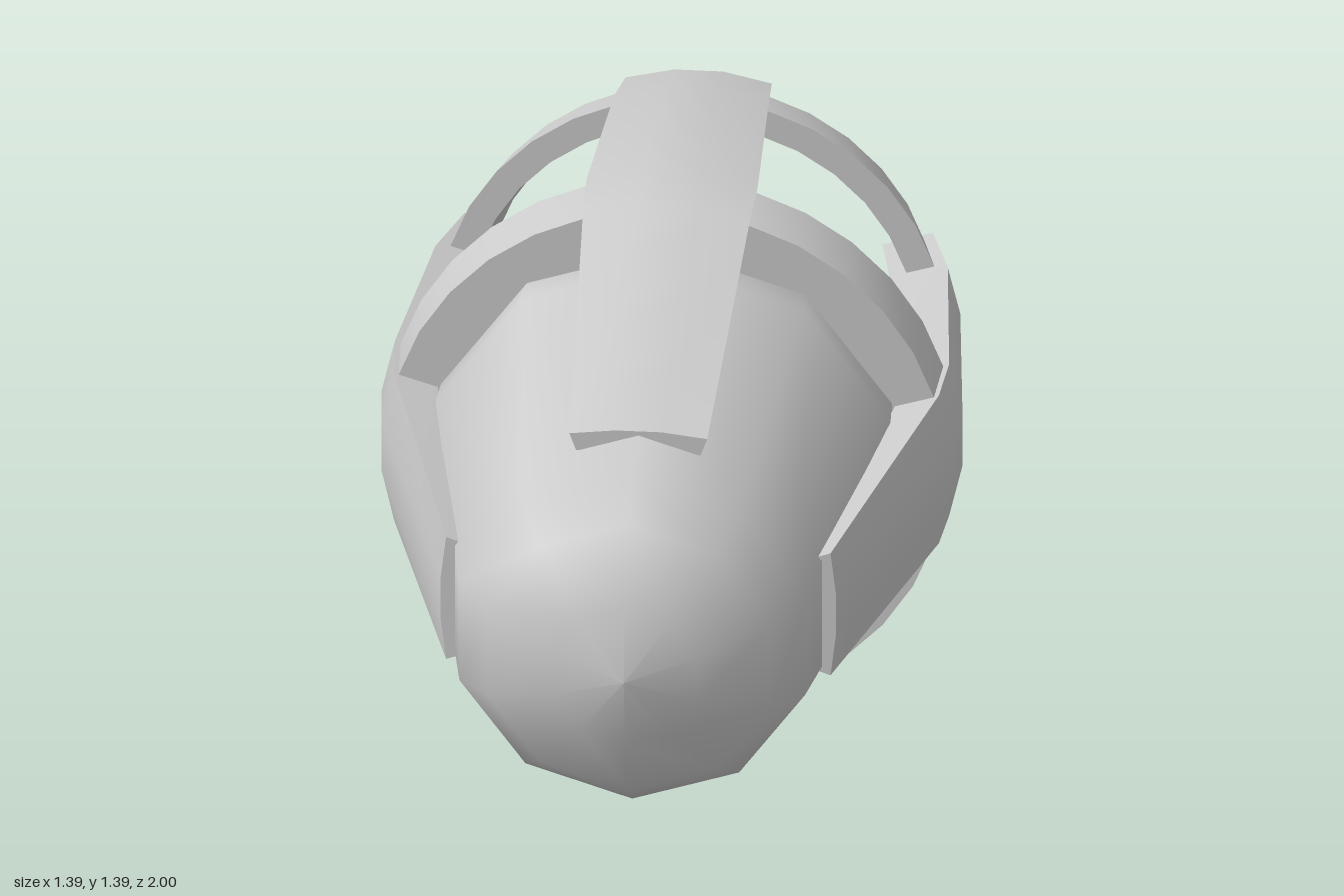
import * as THREE from 'three';
import { toCreasedNormals } from 'three/addons/utils/BufferGeometryUtils.js';

const SIDES = 4;
const material = new THREE.MeshStandardMaterial({ color: 0xcccccc });
const shellMaterial = new THREE.MeshStandardMaterial({ color: 0xcccccc, side: THREE.DoubleSide });

// Lathe around the z axis from [radius, z] pairs
function turned(profile, segments, phase = 0) {
  const points = profile.map(([r, z]) => new THREE.Vector2(r, z));
  return new THREE.LatheGeometry(points, segments, phase).rotateX(Math.PI / 2);
}

function add(parent, geometry, name, mat = material) {
  const mesh = new THREE.Mesh(geometry, mat);
  mesh.name = name;
  parent.add(mesh);
  return mesh;
}

// Curved strap above the axis, lofted through shallow arched cross-sections
function strapGeometry() {
  // z, half width, outer corner height, inner corner height, arch rise
  const stations = [
    [-1.0, 0.175, 0.56, 0.44, 0.027],
    [-0.81, 0.185, 0.613, 0.475, 0.03],
    [-0.29, 0.205, 0.663, 0.56, 0.032],
    [-0.14, 0.2, 0.652, 0.548, 0.03],
    [0.61, 0.165, 0.46, 0.415, 0.013],
  ];
  const across = [-1, -1 / 3, 1 / 3, 1];
  const positions = [];
  for (const [z, half, outer, inner, rise] of stations) {
    const innerHalf = half * inner / outer;
    const arch = (t) => (Math.abs(t) < 1 ? rise : 0);
    for (const t of across) positions.push(t * innerHalf, inner + arch(t), z);
    for (const t of across) positions.push(-t * half, outer + arch(t), z);
  }
  const index = [];
  const quad = (a, b, c, d) => index.push(a, b, c, a, c, d);
  const last = (stations.length - 1) * 8;
  for (let k = 0; k < last; k += 8) {
    for (let i = 0; i < 8; i++) {
      const j = (i + 1) % 8;
      quad(k + i, k + j, k + 8 + j, k + 8 + i);
    }
  }
  // End caps
  for (let i = 0; i < 3; i++) {
    quad(last + i, last + i + 1, last + 6 - i, last + 7 - i);
    quad(7 - i, 6 - i, i + 1, i);
  }
  const geometry = new THREE.BufferGeometry();
  geometry.setAttribute('position', new THREE.Float32BufferAttribute(positions, 3));
  geometry.setIndex(index);
  return toCreasedNormals(geometry, 0.6);
}

// Ring with a four-cornered section; front and back radii may differ
function ringGeometry(zBack, zFront, outerBack, outerFront, innerBack, innerFront) {
  const profile = [
    [innerBack, zBack], [outerBack, zBack], [outerFront, zFront],
    [innerFront, zFront], [innerBack, zBack],
  ];
  return toCreasedNormals(turned(profile, 32, Math.PI / 32), 0.6);
}

export function createModel() {
  const model = new THREE.Group();
  const pod = new THREE.Group();
  pod.name = 'pod';
  pod.position.y = 0.697;
  model.add(pod);

  // Ten-sided body with a rounded nose
  add(pod, turned([
    [0.47, -0.36], [0.565, -0.18], [0.572, -0.05], [0.435, 0.77],
    [0.36, 0.87], [0.185, 0.965], [0, 1.0],
  ], 10), 'body', shellMaterial);

  // Open tail: thin rim and inner wall
  add(pod, toCreasedNormals(turned([
    [0, 0.85], [0.4, 0.7], [0.53, -0.08], [0.45, -0.36], [0.47, -0.36],
  ], 10), 0.7), 'tailLining', shellMaterial);

  // Rings joining the straps
  add(pod, ringGeometry(-0.285, -0.135, 0.68, 0.67, 0.52, 0.52), 'middleRing');
  add(pod, ringGeometry(-0.965, -0.83, 0.57, 0.605, 0.5, 0.535), 'rearRing');

  // Four straps around the body
  const strap = strapGeometry();
  const names = ['topStrap', 'rightStrap', 'bottomStrap', 'leftStrap'];
  for (let i = 0; i < SIDES; i++) {
    add(pod, strap, names[i]).rotation.z = (i * 2 * Math.PI) / SIDES;
  }
  return model;
}
